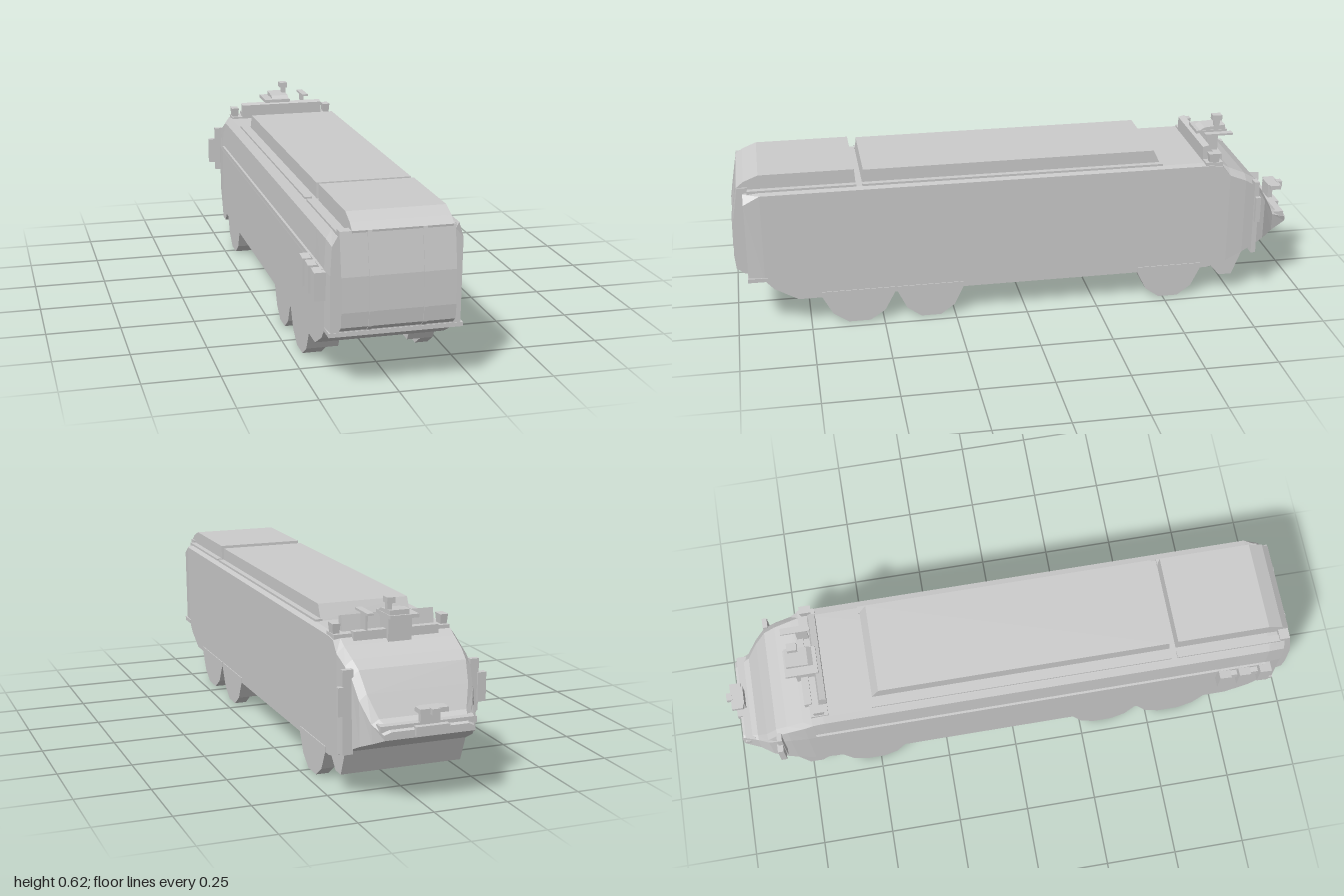
import * as THREE from 'three';

const mat = new THREE.MeshStandardMaterial({ color: 0xcccccc, flatShading: true });

export function createModel() {
  const root = new THREE.Group();
  const add = (name, geo) => {
    const m = new THREE.Mesh(geo, mat);
    m.name = name;
    root.add(m);
    return m;
  };
  // box from min/max limits
  const box = (name, x0, x1, y0, y1, z0, z1) =>
    add(name, new THREE.BoxGeometry(x1 - x0, y1 - y0, z1 - z0)
      .translate((x0 + x1) / 2, (y0 + y1) / 2, (z0 + z1) / 2));
  // side profile of [z, y] points extruded across x
  const slab = (name, pts, x0, x1) => {
    const shape = new THREE.Shape(pts.map(([z, y]) => new THREE.Vector2(z, y)));
    const g = new THREE.ExtrudeGeometry(shape, { depth: x1 - x0, bevelEnabled: false });
    return add(name, g.rotateY(-Math.PI / 2).translate(x1, 0, 0));
  };

  // Hull: cross-sections [z, bottom, shoulder, deck, half width]
  const stations = [
    [0.955, 0.19, 0.46, 0.49, 0.205],
    [0.9, 0.178, 0.47, 0.495, 0.21],
    [0.87, 0.145, 0.47, 0.495, 0.21],
    [0.79, 0.1, 0.47, 0.495, 0.21],
    [-0.66, 0.1, 0.47, 0.495, 0.21],
    [-0.7, 0.11, 0.465, 0.49, 0.21],
    [-0.73, 0.122, 0.45, 0.472, 0.21],
    [-0.79, 0.15, 0.425, 0.445, 0.207],
    [-0.83, 0.17, 0.4, 0.42, 0.202],
    [-0.87, 0.19, 0.335, 0.355, 0.192],
    [-0.91, 0.208, 0.27, 0.285, 0.168],
    [-0.965, 0.233, 0.25, 0.258, 0.15],
  ];
  const pos = [], idx = [], n = 7;
  stations.forEach(([z, b, s, t, w], i) => {
    const right = i > 0 && z > -0.72 ? t - 0.004 : s; // right wall is taller
    const ring = [[-w, b], [w, b], [w + 0.003, right], [w - 0.022, t],
      [-w + 0.022, t], [-w + 0.005, s], [-w, Math.min(0.37, (b + s) / 2 + 0.06)]];
    ring.forEach(([x, y]) => pos.push(x, y, z));
    if (i) for (let j = 0; j < n; j++) {
      const a = (i - 1) * n + j, c = (i - 1) * n + (j + 1) % n;
      idx.push(a, a + n, c, c, a + n, c + n);
    }
  });
  const last = (stations.length - 1) * n;
  for (let j = 1; j < n - 1; j++) {
    idx.push(0, j, j + 1, last, last + j + 1, last + j);
  }
  const hull = new THREE.BufferGeometry();
  hull.setAttribute('position', new THREE.Float32BufferAttribute(pos, 3));
  hull.setIndex(idx);
  hull.computeVertexNormals();
  add('hull', hull);

  // Curved front panel with two straps
  const panel = [[0.94, 0.19], [0.97, 0.198], [0.995, 0.217], [1, 0.265],
    [0.998, 0.375], [0.975, 0.51], [0.94, 0.51]];
  slab('frontPanel', panel.map(([z, y]) => [z - 0.003, y]), -0.182, 0.176);
  for (const x of [-0.09, 0.081]) slab('frontStrap', panel, x - 0.007, x + 0.007);

  // Roof sections, separated by a gap
  slab('frontRoof', [[0.575, 0.48], [0.97, 0.48], [0.974, 0.51], [0.95, 0.53],
    [0.9, 0.55], [0.58, 0.55]], -0.145, 0.17);
  slab('mainRoof', [[-0.49, 0.48], [0.555, 0.48], [0.55, 0.546], [-0.46, 0.546],
    [-0.485, 0.495]], -0.145, 0.17);
  for (const x of [-0.172, 0.178]) {
    box('roofSideRail', x - 0.012, x + 0.012, 0.48, 0.502, -0.49, 0.555);
    box('roofSideRail', x - 0.012, x + 0.012, 0.48, 0.502, 0.575, 0.94);
  }

  // Wheels: faceted outer tyres with shallower inner blocks
  const wheels = [[0.585, 0.125], [0.335, 0.115], [-0.52, 0.115]];
  for (const [z, r] of wheels) {
    const outer = [[z - r, 0.12], [z - r, 0.1], [z - r * 0.72, 0.035], [z - r * 0.3, 0],
      [z + r * 0.3, 0], [z + r * 0.72, 0.035], [z + r, 0.1], [z + r, 0.12]];
    const inner = [[z - r, 0.12], [z - r, 0.1], [z - r * 0.72, 0.035],
      [z + r * 0.72, 0.035], [z + r, 0.1], [z + r, 0.12]];
    slab('wheel', outer, -0.21, -0.146);
    slab('wheel', outer, 0.17, 0.213);
    slab('wheelInner', inner, -0.147, -0.105);
    slab('wheelInner', inner, 0.126, 0.171);
    box('axle', -0.11, 0.13, 0.088, 0.11, z - 0.02, z + 0.02);
  }

  // Guard under the rear and ledge under the front
  slab('rearGuard', [[-0.66, 0.12], [-0.71, 0.065], [-0.755, 0.065], [-0.79, 0.152],
    [-0.72, 0.17]], -0.207, 0.207);
  box('frontLedge', -0.21, 0.213, 0.176, 0.19, 0.89, 0.957);

  // Side rail and fittings
  box('sideRail', -0.217, -0.205, 0.362, 0.374, -0.7, 0.9);
  for (const z of [0.75, 0.82, 0.895]) {
    slab('sideFitting', [[z - 0.02, 0.285], [z + 0.02, 0.28], [z + 0.022, 0.37],
      [z - 0.02, 0.375]], -0.245, -0.205);
  }
  box('sideFittingBar', -0.228, -0.205, 0.31, 0.34, 0.73, 0.915);

  // Mirrors at the rear corners
  box('rightMirrorPanel', 0.198, 0.233, 0.155, 0.425, -0.832, -0.815);
  box('rightMirror', 0.23, 0.249, 0.28, 0.372, -0.835, -0.818);
  box('leftMirrorPanel', -0.225, -0.195, 0.25, 0.42, -0.832, -0.815);
  slab('leftMirror', [[-0.838, 0.28], [-0.818, 0.28], [-0.818, 0.375], [-0.838, 0.375]],
    -0.249, -0.22);

  // Crossbar on the deck with flared end posts
  slab('crossbar', [[-0.64, 0.48], [-0.638, 0.547], [-0.66, 0.553], [-0.672, 0.48]], -0.145, 0.17);
  box('crossbarBase', -0.185, 0.21, 0.48, 0.502, -0.7, -0.64);
  for (const x of [-0.171, 0.197]) {
    const g = new THREE.CylinderGeometry(0.019, 0.013, 0.05, 4, 1).rotateY(Math.PI / 4);
    g.scale(1, 1, 1.5).translate(x, 0.509, -0.67);
    add('crossbarPost', g);
  }

  // Roof equipment tray
  box('trayStand', -0.04, 0.04, 0.46, 0.56, -0.73, -0.66);
  box('tray', -0.05, 0.048, 0.55, 0.562, -0.762, -0.65);
  slab('trayTop', [[-0.755, 0.56], [-0.66, 0.56], [-0.68, 0.572], [-0.755, 0.578]], -0.02, 0.046);
  box('lampStem', 0.03, 0.046, 0.57, 0.605, -0.735, -0.715);
  box('lampHead', 0.022, 0.05, 0.597, 0.616, -0.742, -0.708);
  box('hookStem', 0.101, 0.108, 0.48, 0.575, -0.71, -0.67);
  box('hookTop', 0.101, 0.124, 0.568, 0.575, -0.76, -0.66);
  box('deckBar', -0.14, 0.15, 0.47, 0.51, -0.715, -0.69);

  // Nose lip and tow hook
  box('noseLip', -0.16, 0.16, 0.255, 0.275, -0.955, -0.92);
  box('towBase', -0.06, 0.052, 0.24, 0.268, -0.975, -0.93);
  box('towPost', -0.035, 0.03, 0.26, 0.325, -0.957, -0.94);
  box('towArm', -0.05, 0.045, 0.31, 0.325, -0.985, -0.945);
  box('towTip', -0.015, 0.012, 0.308, 0.327, -1, -0.98);
  return root;
}
